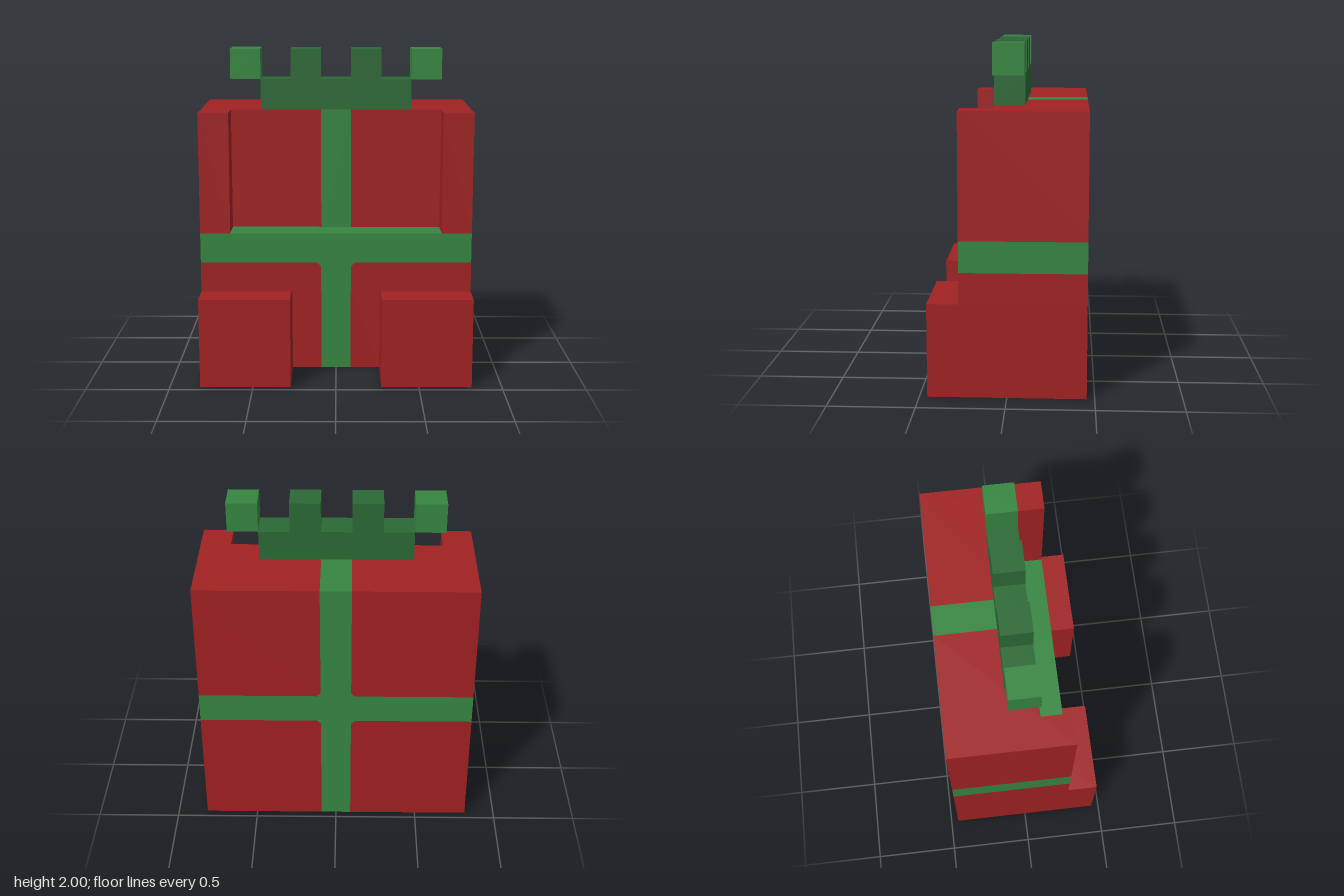
import * as THREE from 'three';

const U = 2 / 11; // one block of the grid

const mat = (name, color) => {
  const m = new THREE.MeshStandardMaterial({ color });
  m.name = name;
  return m;
};

export function createModel() {
  const red = mat('wrapping red', 0xa02122);
  const green = mat('ribbon green', 0x358640);
  const darkGreen = mat('bow dark green', 0x2b6935);
  const group = new THREE.Group();

  const add = (name, geometry, material) => {
    const mesh = new THREE.Mesh(geometry, material);
    mesh.name = name;
    group.add(mesh);
    return mesh;
  };
  const extrude = (pts, depth) => new THREE.ExtrudeGeometry(
    new THREE.Shape(pts.map(([a, b]) => new THREE.Vector2(a * U, b * U))),
    { depth: depth * U, bevelEnabled: false });

  // Upright prism from an (x, z) footprint, in blocks
  const slab = (name, pts, y0, y1, material) => {
    const g = extrude(pts.map(([x, z]) => [x, -z]), y1 - y0);
    g.rotateX(-Math.PI / 2).translate(0, y0 * U, 0);
    add(name, g, material);
  };

  // Box halves on either side of the ribbon
  for (const s of [1, -1]) {
    const side = s > 0 ? 'left' : 'right';
    const m = (pts) => pts.map(([x, z]) => [s * x, z]);
    const plain = m([[0.5, -2.5], [4.5, -2.5], [4.5, 1.5], [0.5, 1.5]]);
    // Base with the foot and the hollow between the feet
    slab(side + 'Foot', m([[0.5, -2.5], [4.5, -2.5], [4.5, 2.5], [1.5, 2.5], [1.5, 0.5], [0.5, 0.5]]), 0, 3, red);
    slab(side + 'Waist', plain, 3, 4, red);
    slab(side + 'RibbonBand', plain, 4, 5, green);
    // Upper box with the front post beside the opening
    slab(side + 'UpperBox', m([[0.5, -2.5], [4.5, -2.5], [4.5, 1.5], [3.5, 1.5], [3.5, 0.5], [0.5, 0.5]]), 5, 9, red);
  }

  // Vertical ribbon running through the middle, from its (z, y) side profile
  const ribbon = extrude([[-2.5, 0], [0.5, 0], [0.5, 3], [1.5, 3], [1.5, 5], [0.5, 5], [0.5, 9], [-2.5, 9]], 1);
  ribbon.rotateY(-Math.PI / 2).translate(U / 2, 0, 0);
  add('verticalRibbon', ribbon, green);

  // Small softened corners where the ribbons cross
  const corner = (sx, y, dy, z) => {
    const r = 0.12;
    const g = extrude([[sx * 0.5, y], [sx * (0.5 + r), y], [sx * 0.5, y + dy * r]], 0.02);
    g.translate(0, 0, z * U - 0.01 * U);
    add('ribbonCorner', g, green);
  };
  for (const sx of [1, -1]) {
    corner(sx, 4, -1, 1.5);
    corner(sx, 4, -1, -2.5);
    corner(sx, 5, 1, -2.5);
  }

  // Bow: a bar with two teeth and two brighter raised ends
  const box = (name, w, x, y, material) =>
    add(name, new THREE.BoxGeometry(w * U, U, U), material).position.set(x * U, y * U, 0);
  box('bowBar', 5, 0, 9.5, darkGreen);
  for (const s of [1, -1]) {
    box('bowTooth', 1, s, 10.5, darkGreen);
    box('bowEnd', 1, s * 3, 10.5, green);
  }
  return group;
}
